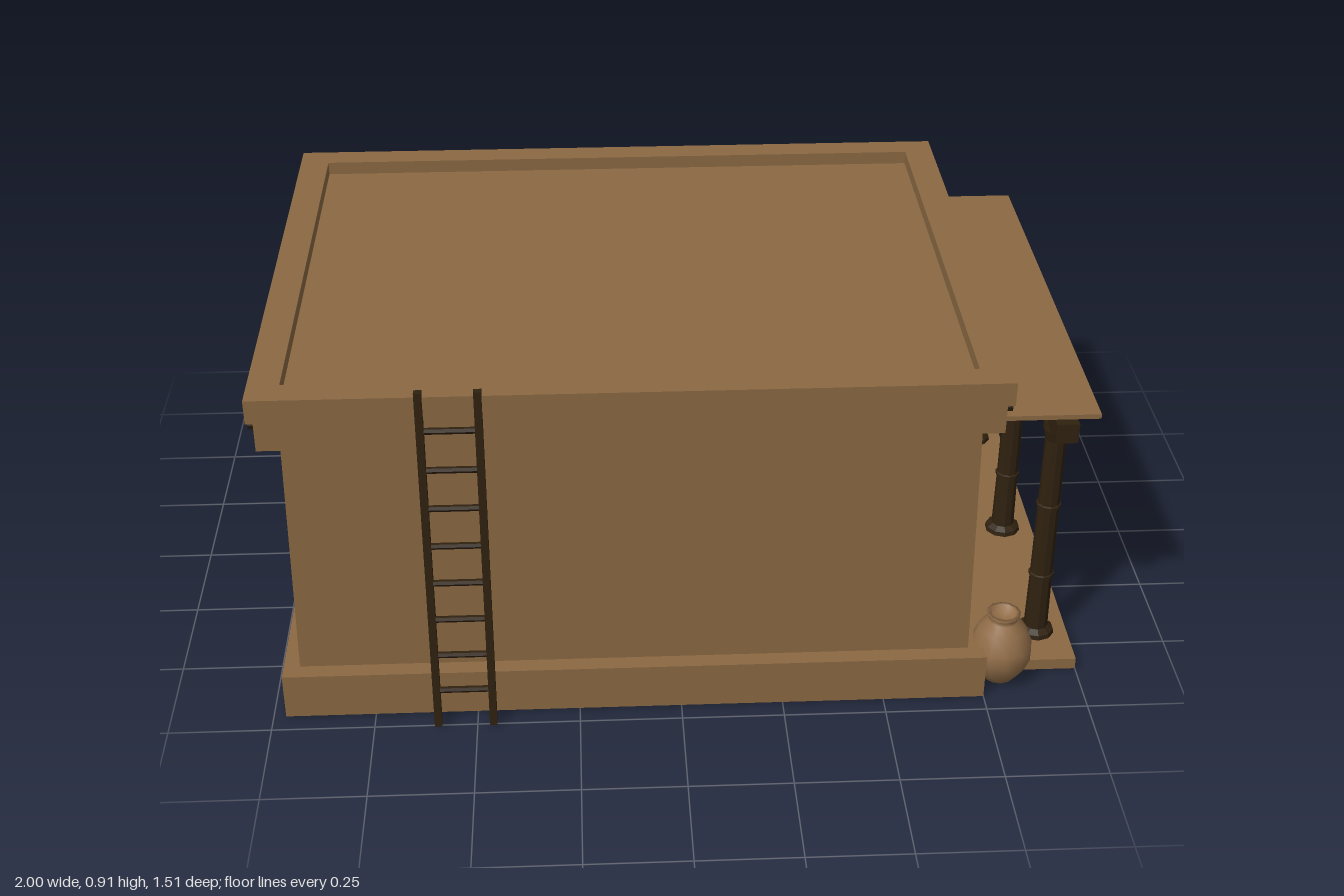
import * as THREE from 'three';

const mat = (name, color, extra = {}) => {
  const m = new THREE.MeshStandardMaterial({ color, ...extra });
  m.name = name;
  return m;
};

export function createModel() {
  const adobe = mat('adobe', 0x8a6842);
  const wood = mat('dark wood', 0x2f210f);
  const clay = mat('clay', 0x916d48);
  const log = mat('firewood', 0x4b3a31);
  const root = new THREE.Group();
  root.name = 'adobeHouse';

  const add = (name, geo, material, parent = root) => {
    const m = new THREE.Mesh(geo, material);
    m.name = name;
    parent.add(m);
    return m;
  };
  const group = (name) => {
    const g = new THREE.Group();
    g.name = name;
    root.add(g);
    return g;
  };
  // box given by its limits
  const box = (name, x0, x1, y0, y1, z0, z1, material, parent) => {
    const m = add(name, new THREE.BoxGeometry(x1 - x0, y1 - y0, z1 - z0), material, parent);
    m.position.set((x0 + x1) / 2, (y0 + y1) / 2, (z0 + z1) / 2);
    return m;
  };
  // round bar between two points
  const bar = (name, a, b, r, sides, material, parent) => {
    const p = new THREE.Vector3(...a), q = new THREE.Vector3(...b);
    const geo = new THREE.CylinderGeometry(r, r, p.distanceTo(q), sides).toNonIndexed();
    geo.computeVertexNormals();
    const m = add(name, geo, material, parent);
    m.position.copy(p).add(q).multiplyScalar(0.5);
    m.quaternion.setFromUnitVectors(new THREE.Vector3(0, 1, 0), q.sub(p).normalize());
    return m;
  };

  // plinth and tapering walls
  box('plinth', -0.97, 0.75, 0, 0.12, -0.63, 0.7, adobe);
  const wallGeo = new THREE.BoxGeometry(1.64, 0.65, 1.25);
  const wp = wallGeo.attributes.position;
  for (let i = 0; i < wp.count; i++) {
    if (wp.getY(i) > 0) wp.setXYZ(i, wp.getX(i) * 0.988, wp.getY(i), wp.getZ(i) * 0.986);
  }
  wallGeo.computeVertexNormals();
  add('walls', wallGeo, adobe).position.set(-0.11, 0.44, 0.033);

  // cornice, roof and parapet rim
  box('cornice', -0.97, 0.745, 0.76, 0.84, -0.63, 0.687, adobe);
  box('roof', -0.93, 0.7, 0.83, 0.866, -0.59, 0.645, adobe);
  const rect = (T, x0, x1, y0, y1) => {
    const s = new T();
    s.moveTo(x0, y0);
    s.lineTo(x1, y0);
    s.lineTo(x1, y1);
    s.lineTo(x0, y1);
    s.closePath();
    return s;
  };
  const rim = rect(THREE.Shape, -0.985, 0.76, -0.7, 0.645);
  rim.holes.push(rect(THREE.Path, -0.91, 0.685, -0.63, 0.575));
  const rimGeo = new THREE.ExtrudeGeometry(rim, { depth: 0.06, bevelEnabled: false });
  rimGeo.rotateX(-Math.PI / 2);
  add('parapet', rimGeo, adobe).position.y = 0.84;

  // roof beams poking out of both end walls
  const beams = group('roofBeams');
  for (let i = 0; i < 8; i++) {
    const z = 0.578 - i * 0.1565;
    bar('roofBeam', [-1, 0.773, z], [0.78, 0.773, z], 0.018, 8, wood, beams);
  }

  // porch
  const porch = group('porch');
  box('porchFloor', 0.7, 1, 0, 0.03, -0.6, 0.6, adobe, porch);
  box('porchRoof', 0.69, 0.99, 0.739, 0.751, -0.595, 0.6, adobe, porch);
  box('porchBeam', 0.893, 0.947, 0.66, 0.712, -0.567, 0.58, wood, porch);
  for (let i = 0; i < 10; i++) {
    const z = 0.55 - i * 0.1215;
    bar('rafter', [0.69, 0.738, z], [0.97, 0.721, z], 0.011, 6, wood, porch);
  }
  const columnProfile = [
    [0, 0.03], [0.047, 0.03], [0.045, 0.042], [0.03, 0.052], [0.028, 0.205], [0.032, 0.207],
    [0.032, 0.215], [0.028, 0.217], [0.027, 0.413], [0.031, 0.415], [0.031, 0.423], [0.027, 0.425],
    [0.026, 0.61], [0.034, 0.64], [0.034, 0.665], [0, 0.665],
  ].map(([x, y]) => new THREE.Vector2(x, y));
  const columnGeo = new THREE.LatheGeometry(columnProfile, 10).toNonIndexed();
  columnGeo.computeVertexNormals();
  for (const z of [0.475, 0.01, -0.46]) {
    add('column', columnGeo, wood, porch).position.set(0.92, 0, z);
  }

  // double door with raised panels
  const door = group('door');
  box('lintel', 0.69, 0.738, 0.575, 0.64, -0.03, 0.387, wood, door);
  for (const s of [-1, 1]) {
    const mid = (name, x1, y0, y1, a, b) =>
      box(name, 0.69, x1, y0, y1, Math.min(0.18 + s * a, 0.18 + s * b), Math.max(0.18 + s * a, 0.18 + s * b), wood, door);
    mid('doorPost', 0.742, 0.12, 0.58, 0.152, 0.186);
    mid('doorLeaf', 0.718, 0.12, 0.58, 0.003, 0.155);
    mid('lowerPanel', 0.726, 0.125, 0.27, 0.025, 0.135);
    mid('upperPanel', 0.726, 0.35, 0.49, 0.025, 0.135);
    const knob = add('doorKnob', new THREE.SphereGeometry(0.009, 8, 6), wood, door);
    knob.position.set(0.726, 0.328, 0.18 + s * 0.018);
  }

  // barred porch window
  const win = group('barredWindow');
  box('windowBack', 0.69, 0.712, 0.36, 0.56, -0.42, -0.215, wood, win);
  for (const z of [-0.42, -0.24]) box('windowSide', 0.69, 0.724, 0.36, 0.56, z, z + 0.025, wood, win);
  for (const y of [0.36, 0.535]) box('windowRail', 0.69, 0.723, y, y + 0.025, -0.42, -0.215, wood, win);
  for (let i = 0; i < 4; i++) {
    const z = -0.258 - i * 0.04, y = 0.4 + i * 0.04;
    bar('uprightBar', [0.717, 0.37, z], [0.717, 0.55, z], 0.006, 6, wood, win);
    bar('crossBar', [0.717, y, -0.41], [0.717, y, -0.225], 0.006, 6, wood, win);
  }

  // small windows in the rear end wall
  for (const z of [-0.31, 0.31]) {
    box('smallWindow', -0.937, -0.9, 0.54, 0.615, z - 0.06, z + 0.06, wood);
    for (const d of [-0.03, 0, 0.03]) {
      bar('smallWindowBar', [-0.938, 0.54, z + d], [-0.938, 0.615, z + d], 0.006, 6, wood);
    }
  }

  // leaning ladder
  const ladder = group('ladder');
  const ladderZ = (y) => 0.748 - y * 0.053;
  for (const x of [-0.595, -0.461]) {
    const rail = add('ladderRail', new THREE.BoxGeometry(0.018, 0.915, 0.018), wood, ladder);
    rail.position.set(x, 0.457, ladderZ(0.457));
    rail.rotation.x = -Math.atan(0.053);
  }
  for (let i = 0; i < 8; i++) {
    const y = 0.103 + i * 0.1015;
    bar('rung', [-0.595, y, ladderZ(y)], [-0.461, y, ladderZ(y)], 0.008, 6, wood, ladder);
  }

  // clay jars
  const jarProfile = [
    [0, 0], [0.5, 0], [0.82, 0.45], [1, 0.95], [0.98, 1.4], [0.75, 2], [0.48, 2.3], [0.46, 2.42],
    [0.54, 2.56], [0.42, 2.56], [0.36, 2.35], [0, 2.3],
  ].map(([x, y]) => new THREE.Vector2(x, y));
  const jarGeo = new THREE.LatheGeometry(jarProfile, 12);
  for (const [x, y, z, r, h] of [[0.8, 0.005, 0.62, 0.078, 0.192], [0.775, 0.01, -0.565, 0.063, 0.15]]) {
    const jar = add('jar', jarGeo, clay);
    jar.position.set(x, y, z);
    jar.scale.set(r, h / 2.56, r);
  }

  // stacked firewood
  const pile = group('firewood');
  for (let row = 0; row < 3; row++) {
    for (let col = 0; col < 3; col++) {
      const y = 0.032 + row * 0.045, z = -0.65 - col * 0.045, d = ((row + col) % 3) * 0.004;
      bar('log', [-0.785 + d, y, z], [-0.477 + d, y, z], 0.02, 7, log, pile);
    }
  }
  return root;
}
